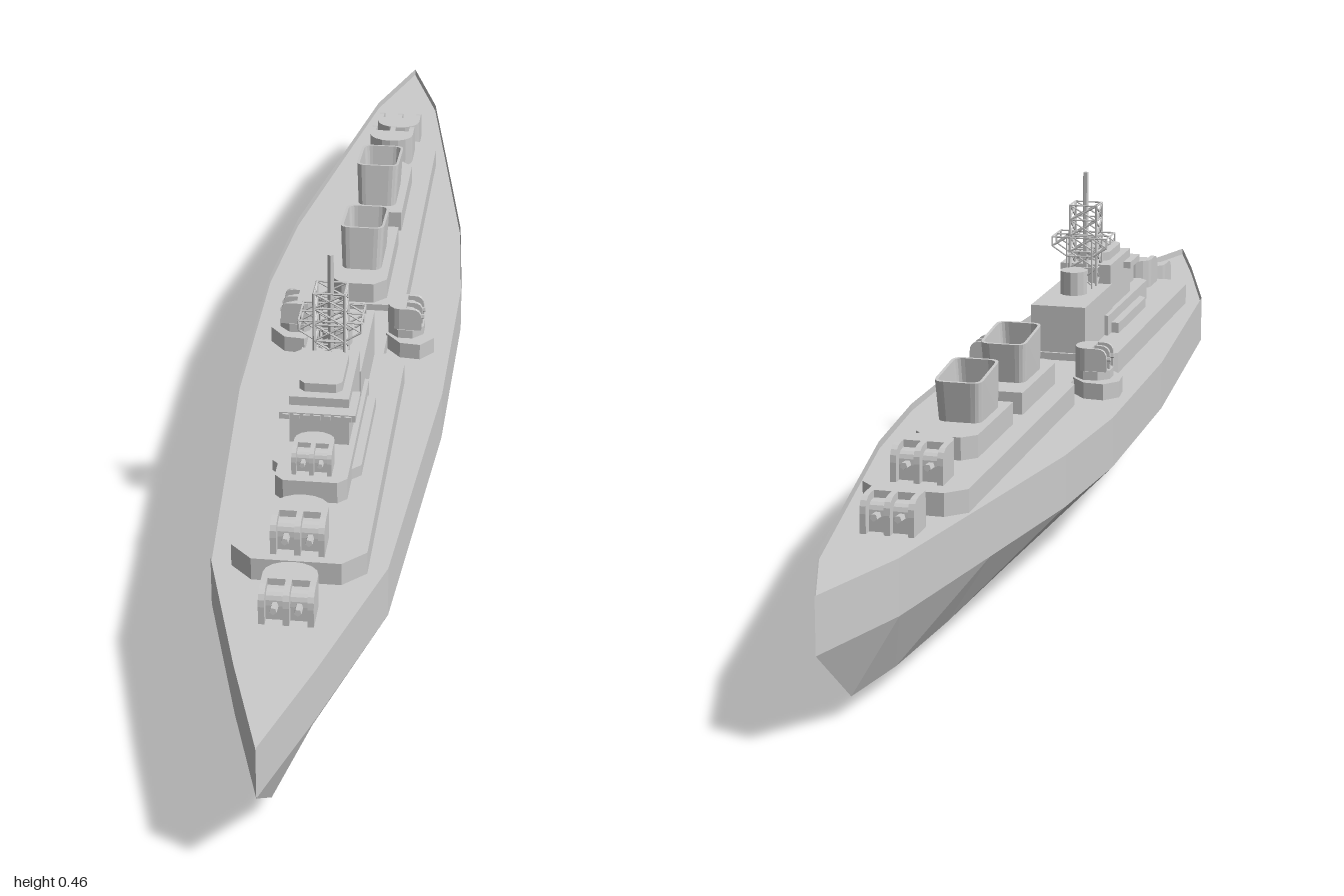
import * as THREE from 'three';

const material = new THREE.MeshStandardMaterial({ color: 0xcccccc, flatShading: true, side: THREE.DoubleSide });

function add(parent, name, geometry, x = 0, y = 0, z = 0) {
  const mesh = new THREE.Mesh(geometry, material);
  mesh.name = name;
  mesh.position.set(x, y, z);
  parent.add(mesh);
  return mesh;
}

// Box given by half width and ranges in y and z
function block(parent, name, hw, y0, y1, z0, z1) {
  return add(parent, name, new THREE.BoxGeometry(hw * 2, y1 - y0, z1 - z0), 0, (y0 + y1) / 2, (z0 + z1) / 2);
}

// Horizontal slab from a plan outline of [x, z] points
function slab(parent, name, points, y0, y1) {
  const shape = new THREE.Shape(points.map(([x, z]) => new THREE.Vector2(x, z)));
  const geometry = new THREE.ExtrudeGeometry(shape, { depth: y1 - y0, bevelEnabled: false });
  geometry.rotateX(Math.PI / 2);
  return add(parent, name, geometry, 0, y1, 0);
}

// Plan rectangle with separately cut corners at the aft (ca) and fore (cf) ends
const cutPlan = (hw, z0, z1, ca, cf) => [
  [-hw + ca, z0], [hw - ca, z0], [hw, z0 + ca], [hw, z1 - cf],
  [hw - cf, z1], [-hw + cf, z1], [-hw, z1 - cf], [-hw, z0 + ca],
];

function strut(parent, a, b, r = 0.0014) {
  const from = new THREE.Vector3(...a), to = new THREE.Vector3(...b);
  const mesh = add(parent, 'strut', new THREE.CylinderGeometry(r, r, from.distanceTo(to), 5));
  mesh.position.copy(from).lerp(to, 0.5);
  mesh.quaternion.setFromUnitVectors(new THREE.Vector3(0, 1, 0), to.sub(from).normalize());
}

// Hull stations: deck z, deck half width, chine z, chine half width, keel y
const stations = [
  [-1, 0, -0.88, 0, 0.027], [-0.845, 0.05, -0.77, 0.02, 0.017], [-0.6, 0.092, -0.6, 0.034, 0],
  [-0.37, 0.131, -0.37, 0.046, 0], [-0.17, 0.148, -0.17, 0.053, 0], [0.16, 0.146, 0.16, 0.053, 0],
  [0.61, 0.115, 0.61, 0.04, 0], [0.84, 0.05, 0.77, 0.02, 0.017], [1, 0, 0.88, 0, 0.027],
];

function buildHull(ship) {
  const rings = stations.map(([z, w, zc, wc, k]) => [
    [w, 0.192, z], [w, 0.12, z], [wc, 0.027, zc], [0, k, zc],
    [-wc, 0.027, zc], [-w, 0.12, z], [-w, 0.192, z],
  ]);
  const positions = [];
  for (let i = 0; i < rings.length - 1; i++) {
    for (let j = 0; j < 6; j++) {
      const a = rings[i][j], b = rings[i][j + 1], c = rings[i + 1][j + 1], d = rings[i + 1][j];
      positions.push(...a, ...c, ...b, ...a, ...d, ...c);
    }
  }
  const geometry = new THREE.BufferGeometry();
  geometry.setAttribute('position', new THREE.Float32BufferAttribute(positions, 3));
  geometry.computeVertexNormals();
  add(ship, 'hull', geometry);

  // Deck set slightly below the hull's rim
  const inner = stations.map(([z, w]) => [w * 0.995, z * 0.999]);
  const port = inner.slice(1, -1).reverse().map(([w, z]) => [-w, z]);
  slab(ship, 'mainDeck', [...inner, ...port], 0.176, 0.182);
}

// Side profile (z, y) extruded across x
function cheek(parent, name, x, thick, depth, height) {
  const s = new THREE.Shape();
  s.moveTo(0, 0);
  s.lineTo(depth, 0);
  s.lineTo(depth, height * 0.55);
  s.quadraticCurveTo(depth, height, depth * 0.4, height);
  s.lineTo(0, height);
  const g = new THREE.ExtrudeGeometry(s, { depth: thick, bevelEnabled: false, curveSegments: 4 });
  g.rotateY(-Math.PI / 2);
  add(parent, name, g, x + thick / 2, 0, 0);
}

// Twin turret: rounded back, three curved cheeks, two recessed guns
function turret(ship, name, x, y, z, angle, size = 1) {
  const group = new THREE.Group();
  group.name = name;
  const w = 0.035, h = 0.048, front = 0.035;
  const plan = [[w, 0.002], [w, -0.012]];
  for (let i = 1; i < 8; i++) {
    const a = (i * Math.PI) / 8;
    plan.push([w * Math.cos(a), -0.012 - 0.026 * Math.sin(a)]);
  }
  plan.push([-w, -0.012], [-w, 0.002]);
  slab(group, 'turretHouse', plan, 0, h);
  for (const cx of [-0.031, 0, 0.031]) cheek(group, 'turretCheek', cx, 0.008, front, h);
  for (const cx of [-0.0155, 0.0155]) {
    cheek(group, 'gunMount', cx, 0.023, front * 0.65, h * 0.8);
    strut(group, [cx, h * 0.45, 0.01], [cx, h * 0.5, front + 0.004], 0.005);
  }
  group.position.set(x, y, z);
  group.rotation.y = angle;
  group.scale.setScalar(size);
  ship.add(group);
}

// Open funnel with a rounded plan, leaning slightly aft
function funnel(ship, z) {
  const rounded = (path, hw, hl, r) => {
    path.moveTo(-hw + r, -hl);
    path.lineTo(hw - r, -hl); path.quadraticCurveTo(hw, -hl, hw, -hl + r);
    path.lineTo(hw, hl - r); path.quadraticCurveTo(hw, hl, hw - r, hl);
    path.lineTo(-hw + r, hl); path.quadraticCurveTo(-hw, hl, -hw, hl - r);
    path.lineTo(-hw, -hl + r); path.quadraticCurveTo(-hw, -hl, -hw + r, -hl);
    return path;
  };
  const shape = rounded(new THREE.Shape(), 0.032, 0.049, 0.014);
  shape.holes.push(rounded(new THREE.Path(), 0.028, 0.045, 0.012));
  const g = new THREE.ExtrudeGeometry(shape, { depth: 0.065, bevelEnabled: false, curveSegments: 4 });
  g.rotateX(Math.PI / 2);
  const p = g.attributes.position;
  for (let i = 0; i < p.count; i++) {
    const t = 1 + p.getY(i) / 0.065;
    const pz = p.getZ(i);
    p.setXYZ(i, p.getX(i) * (0.93 + 0.1 * t), p.getY(i) + t * pz * 0.1, pz - t * 0.008);
  }
  g.computeVertexNormals();
  add(ship, 'funnel', g, 0, 0.305, z);
}

function buildMast(ship) {
  const mast = new THREE.Group();
  mast.name = 'latticeMast';
  // Braced square tower
  const w = 0.021, z0 = 0.248, z1 = 0.284;
  const corners = [[-w, z0], [w, z0], [w, z1], [-w, z1]];
  const levels = [0.28, 0.312, 0.337, 0.362, 0.387, 0.41];
  corners.forEach(([x, z], i) => {
    const [nx, nz] = corners[(i + 1) % 4];
    strut(mast, [x, levels[0], z], [x, levels[5], z], 0.002);
    levels.forEach((y, k) => {
      strut(mast, [x, y, z], [nx, y, nz]);
      if (k === levels.length - 1) return;
      strut(mast, [x, y, z], [nx, levels[k + 1], nz]);
      strut(mast, [nx, y, nz], [x, levels[k + 1], z]);
    });
  });
  // Wide gallery frame behind and around the tower
  for (const z of [0.224, 0.25, 0.278]) {
    strut(mast, [-0.043, 0.364, z], [0.043, 0.364, z]);
    strut(mast, [-0.02, 0.335, z], [0.02, 0.335, z]);
    for (const s of [-1, 1]) {
      strut(mast, [s * 0.043, 0.364, z], [s * 0.043, 0.35, z]);
      strut(mast, [s * 0.043, 0.35, z], [s * 0.02, 0.335, z]);
      strut(mast, [s * 0.043, 0.35, z], [s * 0.02, 0.364, z]);
      strut(mast, [s * 0.02, 0.285, z], [s * 0.02, 0.364, z]);
    }
  }
  for (const s of [-1, 1]) {
    for (const [x, y] of [[0.043, 0.364], [0.043, 0.35], [0.02, 0.335]]) {
      strut(mast, [s * x, y, 0.224], [s * x, y, 0.278]);
    }
  }
  strut(mast, [0, 0.28, 0.264], [0, 0.46, 0.264], 0.0045);
  ship.add(mast);
}

export function createModel() {
  const ship = new THREE.Group();
  ship.name = 'warship';
  buildHull(ship);

  // Raised platforms
  slab(ship, 'forePlatform', cutPlan(0.088, 0.09, 0.64, 0.025, 0.03), 0.18, 0.214);
  slab(ship, 'aftPlatform', cutPlan(0.07, -0.645, -0.06, 0.025, 0.02), 0.18, 0.213);
  block(ship, 'centreWalkway', 0.053, 0.18, 0.203, -0.1, 0.12);

  // Funnel bases and funnels
  slab(ship, 'funnelBase', cutPlan(0.042, -0.5, -0.31, 0.018, 0.001), 0.21, 0.244);
  slab(ship, 'funnelBase', cutPlan(0.042, -0.26, -0.065, 0.001, 0.018), 0.21, 0.244);
  funnel(ship, -0.38);
  funnel(ship, -0.16);

  // Bridge and superstructure
  slab(ship, 'bridgeBase', cutPlan(0.06, 0.24, 0.44, 0.001, 0.015), 0.21, 0.23);
  slab(ship, 'bridgeDeck', cutPlan(0.048, 0.22, 0.498, 0.001, 0.012), 0.21, 0.245);
  block(ship, 'aftHouse', 0.042, 0.21, 0.285, 0.095, 0.27);
  block(ship, 'bridgeTower', 0.04, 0.24, 0.315, 0.265, 0.4);
  block(ship, 'bridgeWing', 0.051, 0.292, 0.302, 0.355, 0.42);
  for (let i = -3; i <= 3; i++) {
    add(ship, 'bridgeWindow', new THREE.BoxGeometry(0.009, 0.007, 0.004), i * 0.0138, 0.297, 0.421);
  }
  slab(ship, 'bridgeRoof', cutPlan(0.029, 0.295, 0.385, 0.008, 0.008), 0.31, 0.328);
  add(ship, 'director', new THREE.CylinderGeometry(0.021, 0.021, 0.038, 12), 0, 0.302, 0.19);
  buildMast(ship);

  // Centreline turrets, facing forward at the bow and aft at the stern
  turret(ship, 'foreTurret', 0, 0.181, 0.702, 0);
  turret(ship, 'upperForeTurret', 0, 0.212, 0.592, 0);
  turret(ship, 'bridgeTurret', 0, 0.243, 0.456, 0, 0.76);
  turret(ship, 'upperAftTurret', 0, 0.212, -0.58, Math.PI);
  turret(ship, 'aftTurret', 0, 0.181, -0.702, Math.PI);

  // Broadside turrets on stepped octagonal bases
  for (const s of [-1, 1]) {
    const lower = add(ship, 'sideTurretBase', new THREE.CylinderGeometry(0.037, 0.037, 0.026, 8), s * 0.085, 0.193, 0);
    lower.rotation.y = Math.PI / 8;
    lower.scale.z = 1.3;
    const upper = add(ship, 'sideTurretRing', new THREE.CylinderGeometry(0.028, 0.028, 0.014, 8), s * 0.08, 0.212, 0);
    upper.rotation.y = Math.PI / 8;
    turret(ship, 'sideTurret', s * 0.079, 0.219, 0, (s * Math.PI) / 2, 0.7);
  }
  return ship;
}
